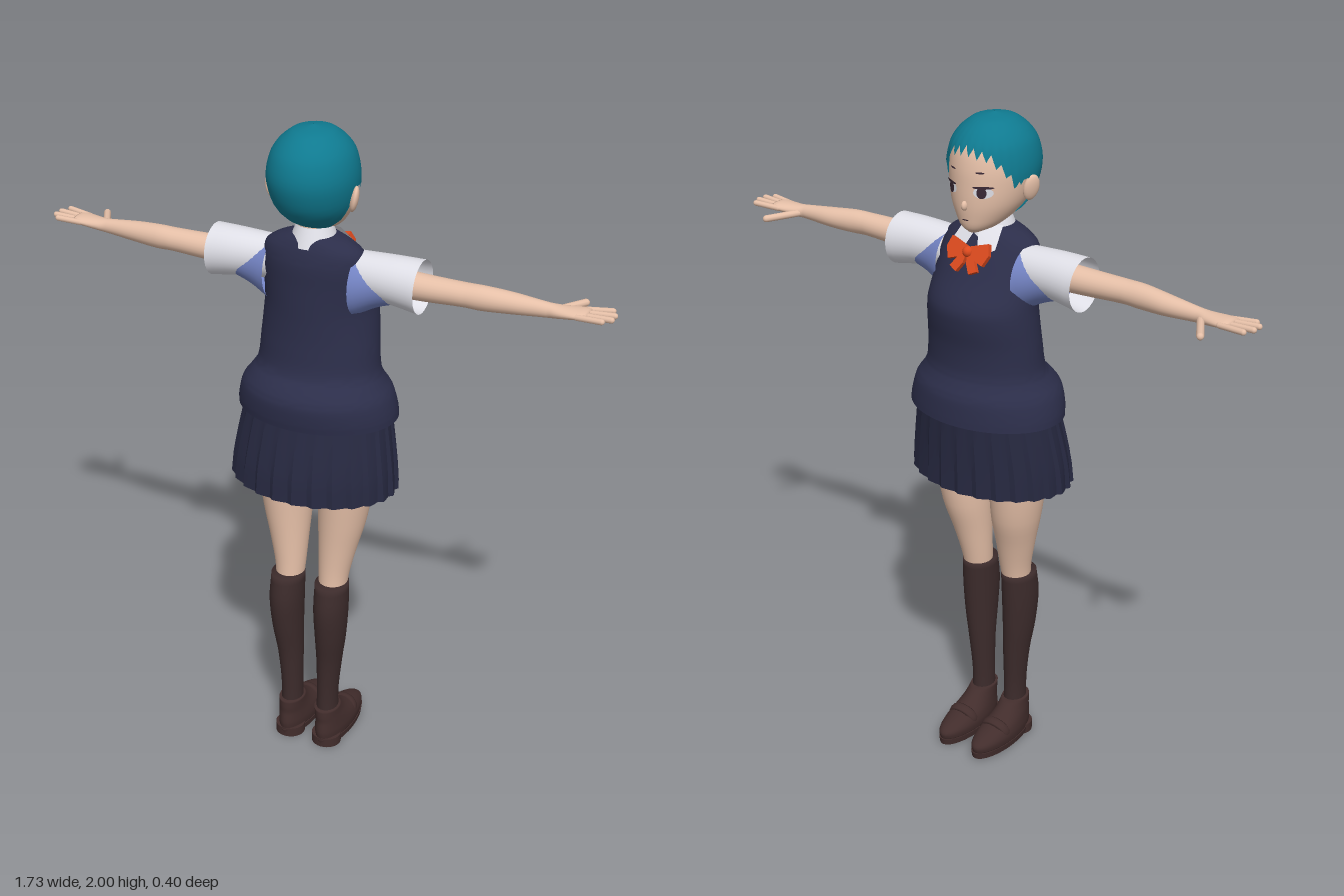
import * as THREE from 'three';
import { toCreasedNormals } from 'three/addons/utils/BufferGeometryUtils.js';

const material = (name, color) => new THREE.MeshStandardMaterial({ name, color, side: THREE.DoubleSide });

// Closed tube of nu columns and nv rows from a point rule
function grid(nu, nv, point) {
  const pos = [], idx = [];
  for (let j = 0; j <= nv; j++) for (let i = 0; i < nu; i++) pos.push(...point(i / nu, j / nv));
  for (let j = 0; j < nv; j++) for (let i = 0; i < nu; i++) {
    const a = j * nu + i, b = j * nu + (i + 1) % nu;
    idx.push(a, a + nu, b, b, a + nu, b + nu);
  }
  const g = new THREE.BufferGeometry();
  g.setAttribute('position', new THREE.Float32BufferAttribute(pos, 3));
  g.setIndex(idx);
  g.computeVertexNormals();
  return g;
}

// Smooth section at t; rings are [t, centreA, centreB, radiusA, radiusB], t rising
function sectionAt(rings, t) {
  let k = 0;
  while (k < rings.length - 2 && t > rings[k + 1][0]) k++;
  const p = rings[k], q = rings[k + 1], o = rings[k - 1] || p, r = rings[k + 2] || q;
  const d = q[0] - p[0], s = Math.min(1, Math.max(0, (t - p[0]) / d));
  return [1, 2, 3, 4].map(c => {
    const m0 = (q[c] - o[c]) / (q[0] - o[0]) * d, m1 = (r[c] - p[c]) / (r[0] - p[0]) * d;
    const s2 = s * s, s3 = s2 * s;
    return (2 * s3 - 3 * s2 + 1) * p[c] + (s3 - 2 * s2 + s) * m0 + (3 * s2 - 2 * s3) * q[c] + (s3 - s2) * m1;
  });
}

// Elliptical loft along y (A = x, B = z) or along x (A = z, B = y)
function loft(rings, { along = 'y', nu = 32, sub = 4, cap = true, mod = () => 1 } = {}) {
  const n = (rings.length - 1) * sub, extra = cap ? 1 : 0;
  return grid(nu, n + 2 * extra, (u, v) => {
    const row = Math.round(v * (n + 2 * extra)) - extra;
    const j = Math.min(n, Math.max(0, row)), k = Math.min(rings.length - 2, Math.floor(j / sub));
    const t = rings[k][0] + (rings[k + 1][0] - rings[k][0]) * (j / sub - k);
    const [ca, cb, ra, rb] = sectionAt(rings, t);
    const f = row === j ? mod(u, j / n) : 0, th = u * Math.PI * 2 - Math.PI / 2;
    const a = ca + Math.max(ra, 0.001) * f * Math.cos(th), b = cb + Math.max(rb, 0.001) * f * Math.sin(th);
    return along === 'y' ? [a, t, b] : [t, b, a];
  });
}

function mirrored(geometry) {
  const g = geometry.clone().scale(-1, 1, 1);
  const src = g.index ? Array.from(g.index.array) : [...Array(g.attributes.position.count).keys()];
  for (let i = 0; i < src.length; i += 3) [src[i + 1], src[i + 2]] = [src[i + 2], src[i + 1]];
  g.setIndex(src);
  return g;
}

// Capsule between two points
function rod(from, to, radius) {
  const a = new THREE.Vector3(...from), b = new THREE.Vector3(...to), d = b.clone().sub(a);
  const g = new THREE.CapsuleGeometry(radius, d.length() - radius, 4, 10);
  g.applyQuaternion(new THREE.Quaternion().setFromUnitVectors(new THREE.Vector3(0, 1, 0), d.normalize()));
  return g.translate(...a.add(b).multiplyScalar(0.5).toArray());
}

const polygon = pts => new THREE.Shape(pts.map(p => new THREE.Vector2(...p)));

export function createModel() {
  const hair = material('hair teal', 0x0f7a90), skin = material('skin', 0xe6c0a8);
  const knit = material('vest navy', 0x2c2e4a), pleat = material('skirt navy', 0x272941);
  const sock = material('sock brown', 0x3c2b2b), leather = material('shoe brown', 0x422d2c);
  const white = material('shirt white', 0xe8e8f0), blue = material('shirt blue', 0x7484c4);
  const red = material('bow orange', 0xdd4a1e), dark = material('eye dark', 0x3a2834);

  const model = new THREE.Group();
  const add = (name, geometry, mat) => {
    const m = new THREE.Mesh(geometry, mat);
    m.name = name;
    model.add(m);
  };
  const addPair = (name, geometry, mat) => {
    add(name + 'Left', mirrored(geometry), mat);
    add(name + 'Right', geometry, mat);
  };

  // Head, the face looks along -z
  const headRings = [
    [1.685, 0, -0.065, 0.018, 0.025], [1.70, 0, -0.045, 0.048, 0.06], [1.73, 0, -0.018, 0.078, 0.094],
    [1.77, 0, 0.002, 0.102, 0.118], [1.82, 0, 0.014, 0.115, 0.13], [1.87, 0, 0.02, 0.118, 0.133],
    [1.92, 0, 0.02, 0.107, 0.121], [1.95, 0, 0.02, 0.088, 0.099], [1.97, 0, 0.02, 0.065, 0.074],
    [1.98, 0, 0.02, 0.047, 0.053], [1.99, 0, 0.02, 0.001, 0.001]];
  add('head', loft(headRings, { nu: 40 }), skin);
  addPair('ear', new THREE.SphereGeometry(1, 16, 12).scale(0.012, 0.038, 0.025).rotateY(0.4)
    .rotateZ(-0.2).translate(0.123, 1.808, 0.022), skin);
  add('nose', new THREE.SphereGeometry(1, 12, 8).scale(0.009, 0.014, 0.012).translate(0, 1.768, -0.116), skin);
  add('neck', new THREE.CylinderGeometry(0.043, 0.05, 0.14, 24).translate(0, 1.68, 0.015), skin);

  // Hair cap with a jagged hairline, given by angle from the face
  const hairline = [[0, 1.93], [0.6, 1.915], [0.95, 1.875], [1.2, 1.835], [1.5, 1.84], [1.75, 1.79],
    [1.95, 1.745], [2.3, 1.718], [3.15, 1.708]];
  const lowest = phi => {
    let k = 0;
    while (k < hairline.length - 2 && phi > hairline[k + 1][0]) k++;
    const [p, q] = [hairline[k], hairline[k + 1]];
    return p[1] + (q[1] - p[1]) * (phi - p[0]) / (q[0] - p[0]);
  };
  add('hair', grid(120, 24, (u, v) => {
    const phi = Math.min(u, 1 - u) * Math.PI * 2, th = u * Math.PI * 2 - Math.PI / 2;
    const zigzag = phi < 1.35 ? [0, 0.012, 0.024, 0.012][Math.round(u * 120) % 4] : 0;
    const low = lowest(phi) - zigzag, y = low + (1.99 - low) * (1 - (1 - v) ** 2);
    const [, cz, rx, rz] = sectionAt(headRings, y);
    return [rx * 1.07 * Math.cos(th), y + Math.max(0, y - 1.87) / 12, cz + rz * 1.07 * Math.sin(th)];
  }), hair);

  // Face details laid onto the head surface
  const facePatch = (x, y, w, h, lift) => {
    const g = new THREE.RingGeometry(0, 1, 20, 3).rotateY(Math.PI).scale(w, h, 1).translate(x, y, 0);
    const p = g.attributes.position;
    for (let i = 0; i < p.count; i++) {
      const [, cz, rx, rz] = sectionAt(headRings, p.getY(i));
      p.setZ(i, cz - rz * Math.sqrt(Math.max(0, 1 - (p.getX(i) / rx) ** 2)) - lift);
    }
    g.computeVertexNormals();
    return g;
  };
  addPair('eyeWhite', facePatch(0.052, 1.81, 0.024, 0.016, 0.002), white);
  addPair('iris', facePatch(0.05, 1.81, 0.012, 0.016, 0.004), dark);
  addPair('upperLash', facePatch(0.053, 1.825, 0.026, 0.004, 0.005), dark);
  addPair('eyebrow', facePatch(0.045, 1.865, 0.012, 0.0025, 0.003), dark);
  add('mouth', facePatch(0, 1.727, 0.011, 0.0018, 0.003), dark);

  // Knitted vest
  add('vest', toCreasedNormals(loft([
    [1.14, 0, -0.013, 0.243, 0.181], [1.17, 0, -0.01, 0.24, 0.182], [1.22, 0, -0.007, 0.225, 0.178],
    [1.25, 0, -0.009, 0.203, 0.16], [1.28, 0, -0.018, 0.186, 0.138], [1.36, 0, -0.025, 0.178, 0.13],
    [1.43, 0, -0.033, 0.172, 0.133], [1.48, 0, -0.033, 0.167, 0.132], [1.55, 0, -0.012, 0.163, 0.11],
    [1.61, 0, 0.005, 0.158, 0.093], [1.65, 0, 0.013, 0.145, 0.077], [1.675, 0, 0.015, 0.11, 0.065],
    [1.69, 0, 0.015, 0.07, 0.056]], { nu: 48 }), 0.9), knit);

  // Pleated skirt, open below
  add('skirt', toCreasedNormals(loft([
    [0.918, 0, 0.012, 0.254, 0.187], [1.0, 0, 0.008, 0.247, 0.184], [1.15, 0, -0.01, 0.222, 0.17]],
  { nu: 104, cap: false, mod: (u, v) => 1 + 0.055 * (1 - 0.6 * v) * ((u * 26 + 0.001) % 1 - 0.4) }), 0.4), pleat);
  add('underwear', new THREE.SphereGeometry(1, 24, 16).scale(0.18, 0.11, 0.13).translate(0, 1.03, 0), white);

  // Collar with two front flaps
  add('collarBand', new THREE.CylinderGeometry(0.05, 0.072, 0.055, 32, 1, true).translate(0, 1.69, 0.015), white);
  const flap = new THREE.BufferGeometry();
  flap.setAttribute('position', new THREE.Float32BufferAttribute(
    [0.003, 1.69, -0.056, 0.062, 1.7, -0.022, 0.075, 1.645, -0.078, 0.03, 1.618, -0.105], 3));
  flap.setIndex([0, 1, 2, 0, 2, 3]);
  flap.computeVertexNormals();
  addPair('collarFlap', flap, white);

  // Ribbon bow, tilted to the chest
  const ribbon = pts => new THREE.ExtrudeGeometry(polygon(pts), { depth: 0.014, bevelEnabled: false })
    .translate(0, 0, -0.007).rotateX(0.45).translate(0, 1.632, -0.098);
  addPair('bowLoop', ribbon([[0, -0.012], [0.058, -0.032], [0.072, 0], [0.062, 0.032], [0, 0.012]]), red);
  addPair('bowTail', ribbon([[0, 0], [0.006, -0.035], [0.022, -0.062], [0.046, -0.05], [0.015, 0]]), red);
  add('bowKnot', new THREE.SphereGeometry(0.016, 12, 8).translate(0, 1.632, -0.102), red);

  // Sleeves and the shirt around the armholes
  addPair('sleeve', loft([[0.13, 0, 1.587, 0.062, 0.063], [0.24, 0, 1.584, 0.068, 0.07],
    [0.32, -0.002, 1.577, 0.073, 0.077]], { along: 'x', cap: false }), white);
  addPair('armhole', loft([[0.13, 0, 1.555, 0.084, 0.092], [0.19, 0, 1.567, 0.066, 0.071],
    [0.25, 0, 1.578, 0.06, 0.06]], { along: 'x', cap: false }), blue);

  // Arms, palms and fingers
  addPair('arm', loft([[0.18, 0.005, 1.585, 0.042, 0.043], [0.32, 0.01, 1.583, 0.04, 0.038],
    [0.45, 0.01, 1.585, 0.035, 0.034], [0.5, 0.008, 1.584, 0.034, 0.035], [0.58, 0, 1.582, 0.031, 0.03],
    [0.68, -0.005, 1.58, 0.021, 0.021], [0.71, -0.008, 1.58, 0.027, 0.018], [0.77, -0.013, 1.584, 0.037, 0.013],
    [0.79, -0.013, 1.585, 0.034, 0.009]], { along: 'x', nu: 24 }), skin);
  [[-0.041, 0.846, -0.056], [-0.022, 0.86, -0.027], [-0.003, 0.86, 0.002], [0.015, 0.84, 0.024]].forEach(([z0, x, z], i) =>
    addPair('finger' + (i + 1), rod([0.76, 1.583, z0], [x, 1.588, z], 0.0085), skin));
  addPair('thumb', rod([0.695, 1.577, -0.018], [0.752, 1.572, -0.115], 0.0105), skin);

  // Legs and knee socks
  addPair('leg', loft([[0.5, 0.073, 0.045, 0.038, 0.042], [0.6, 0.072, 0.032, 0.045, 0.048],
    [0.7, 0.08, 0.02, 0.058, 0.062], [0.8, 0.09, 0.008, 0.072, 0.081], [0.93, 0.098, 0.004, 0.081, 0.096],
    [1.06, 0.096, 0, 0.085, 0.105]]), skin);
  addPair('sock', loft([[0.07, 0.061, 0.048, 0.034, 0.042], [0.18, 0.061, 0.048, 0.032, 0.04],
    [0.3, 0.066, 0.047, 0.038, 0.047], [0.4, 0.072, 0.052, 0.046, 0.058], [0.5, 0.074, 0.054, 0.051, 0.065],
    [0.585, 0.073, 0.046, 0.05, 0.06]]), sock);

  // Loafers: upper, strap, sole and heel
  addPair('shoe', loft([[0.022, 0.063, -0.03, 0.05, 0.132], [0.045, 0.063, -0.029, 0.052, 0.134],
    [0.065, 0.063, -0.013, 0.049, 0.116], [0.085, 0.063, 0.015, 0.044, 0.085], [0.105, 0.062, 0.035, 0.04, 0.066],
    [0.13, 0.061, 0.05, 0.038, 0.05]]), leather);
  addPair('shoeStrap', new THREE.TorusGeometry(0.043, 0.007, 8, 20, Math.PI).scale(1, 0.85, 2.2)
    .rotateX(-0.35).translate(0.063, 0.054, -0.055), leather);
  addPair('sole', toCreasedNormals(loft([[0.004, 0.063, -0.03, 0.05, 0.133], [0.024, 0.063, -0.03, 0.053, 0.136]],
    { sub: 1 }), 0.7), leather);
  addPair('heel', new THREE.CylinderGeometry(1, 1, 0.03, 28).scale(0.046, 1, 0.044).translate(0.063, 0.015, 0.06), leather);

  return model;
}
